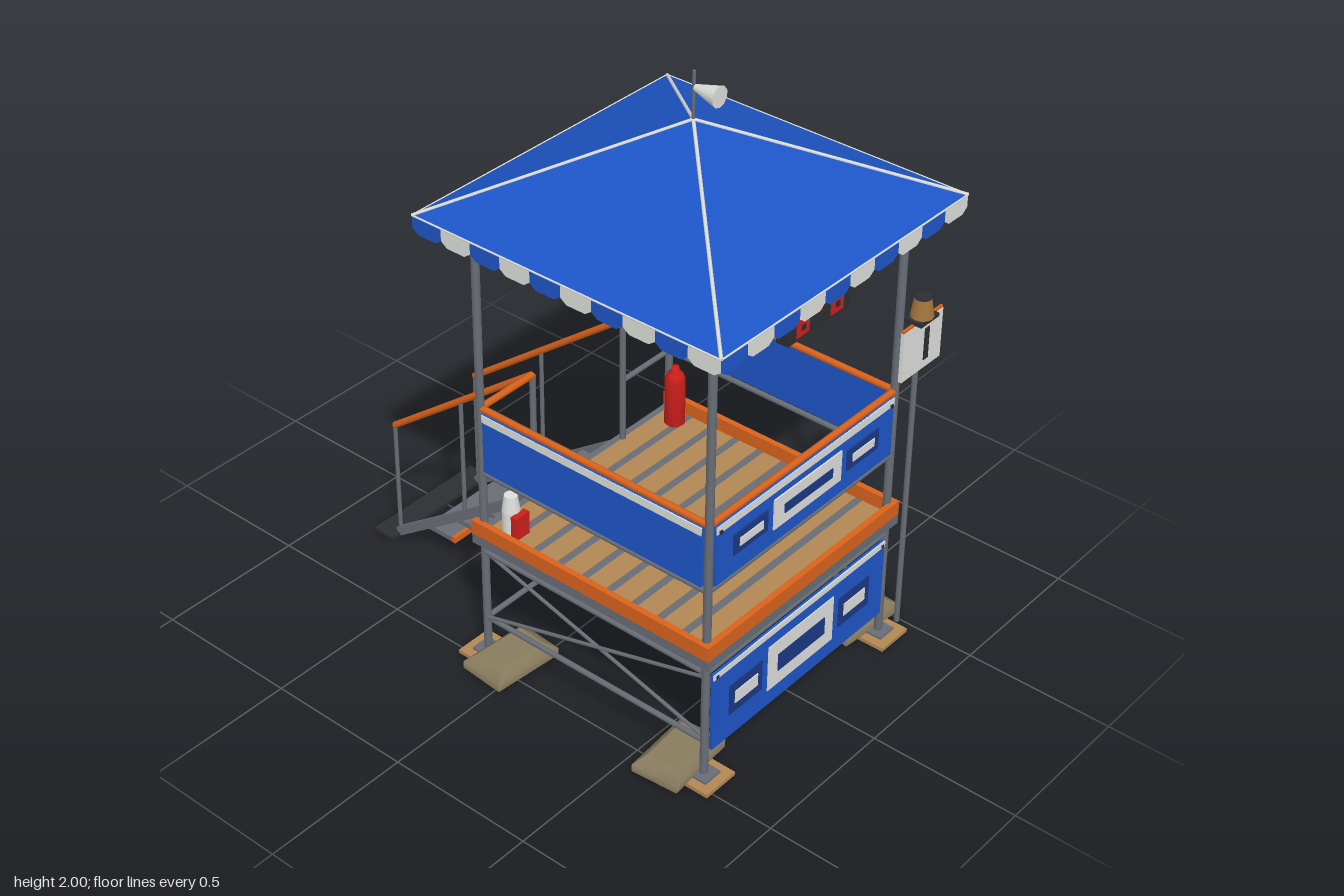
import * as THREE from 'three';

const mat = (name, color, side = THREE.FrontSide) => {
  const m = new THREE.MeshStandardMaterial({ color, side });
  m.name = name;
  return m;
};

export function createModel() {
  const blue = mat('canvas blue', 0x1d55c6, THREE.DoubleSide);
  const navy = mat('navy', 0x1b3884);
  const white = mat('off white', 0xdddfdb, THREE.DoubleSide);
  const steel = mat('steel grey', 0x686d75);
  const dark = mat('charcoal', 0x2d2e31);
  const orange = mat('safety orange', 0xd8621c);
  const red = mat('red', 0xcc1f1b);
  const wood = mat('wood', 0xb28755);
  const sand = mat('sandbag', 0x887c5e);
  const amber = mat('amber', 0xa3763f);

  const model = new THREE.Group();
  const CX = -0.03, CZ = 0.29, H = 0.43; // tower centre and half spacing of the posts
  const tower = new THREE.Group();
  tower.name = 'tower';
  tower.position.set(CX, 0, CZ);
  model.add(tower);

  const add = (parent, name, geo, material, x = 0, y = 0, z = 0) => {
    const m = new THREE.Mesh(geo, material);
    m.name = name;
    m.position.set(x, y, z);
    parent.add(m);
    return m;
  };
  // Box given by its ranges
  const box = (parent, name, material, x0, x1, y0, y1, z0, z1) =>
    add(parent, name, new THREE.BoxGeometry(x1 - x0, y1 - y0, z1 - z0), material,
      (x0 + x1) / 2, (y0 + y1) / 2, (z0 + z1) / 2);
  const cyl = (parent, name, material, r0, r1, y0, y1, x, z, sides = 12) =>
    add(parent, name, new THREE.CylinderGeometry(r1, r0, y1 - y0, sides), material, x, (y0 + y1) / 2, z);
  // Straight tube between two points
  const tube = (parent, name, material, a, b, r, sides = 8) => {
    const A = new THREE.Vector3(...a), d = new THREE.Vector3(...b).sub(A);
    const m = add(parent, name, new THREE.CylinderGeometry(r, r, d.length(), sides), material);
    m.position.copy(A).addScaledVector(d, 0.5);
    m.quaternion.setFromUnitVectors(new THREE.Vector3(0, 1, 0), d.normalize());
    return m;
  };
  // Group turned so that its +z side faces one side of the tower
  const sideGroup = (name, k) => {
    const g = new THREE.Group();
    g.name = name;
    g.rotation.y = k * Math.PI / 2;
    tower.add(g);
    return g;
  };

  // Corner posts, foot pads and sandbags
  for (const sx of [-1, 1]) for (const sz of [-1, 1]) {
    const x = sx * H, z = sz * H;
    cyl(tower, 'cornerPost', steel, 0.013, 0.013, 0.015, 1.56, x, z, 10);
    box(tower, 'footPad', wood, x - 0.065, x + 0.065, 0, 0.013, z - 0.065, z + 0.065);
    box(tower, 'footPlate', steel, x - 0.035, x + 0.035, 0.013, 0.02, z - 0.035, z + 0.035);
    const bag = new THREE.BoxGeometry(0.25, 0.052, 0.16, 1, 2, 1), p = bag.attributes.position;
    for (let i = 0; i < p.count; i++) if (p.getY(i) > 0.01) {
      p.setX(i, p.getX(i) * 0.7);
      p.setZ(i, p.getZ(i) * 0.65);
    }
    bag.computeVertexNormals();
    add(tower, 'sandbag', bag.toNonIndexed(), sand, x, 0.04, z - sz * 0.095).rotation.y = sx * sz * -0.08;
  }

  // Four sides: rails, toe boards, panels and bracing
  ['frontSide', 'leftSide', 'backSide', 'rightSide'].forEach((name, k) => {
    const g = sideGroup(name, k), back = k === 2, flank = k % 2 === 1;
    for (const y of [0.14, 0.395, 1.505])
      if (!(k === 0 && y === 0.14)) tube(g, 'crossRail', steel, [-H, y, H], [H, y, H], 0.009);
    const spans = back ? [[-H, -0.205], [0.205, H]] : [[-H, H]];
    for (const [a, b] of spans) {
      tube(g, 'handRail', orange, [a, 0.922, H], [b, 0.922, H], 0.011);
      tube(g, 'midRail', steel, [a, 0.69, H], [b, 0.69, H], 0.009);
    }
    box(g, 'deckBeam', steel, -0.457, 0.457, 0.432, 0.466, 0.425, 0.456);
    if (back) for (const x of [-0.205, 0.205]) tube(g, 'gatePost', steel, [x, 0.44, H], [x, 0.922, H], 0.01);
    else {
      box(g, 'toeBoard', orange, -0.457, 0.457, 0.466, 0.515, 0.437, 0.457);
      box(g, 'sidePanel', blue, -0.413, 0.413, 0.705, 0.911, H - 0.002, H + 0.012);
      box(g, 'panelHem', white, -0.413, 0.413, 0.885, 0.911, H + 0.01, H + 0.0145);
    }
    if (flank) for (const s of [-1, 1])
      tube(g, 'crossBrace', steel, [-H, 0.265 - s * 0.12, H + s * 0.006], [H, 0.265 + s * 0.12, H + s * 0.006], 0.006);
  });

  // Front banner and painted blocks on both front panels
  const front = sideGroup('frontGraphics', 0);
  box(front, 'lowerBanner', blue, -0.413, 0.413, 0.1, 0.382, H + 0.004, H + 0.014);
  box(front, 'bannerHem', white, -0.413, 0.413, 0.362, 0.382, H + 0.012, H + 0.0165);
  const plate = (m, x, y, w, h, layer) =>
    box(front, 'paintedBlock', m, x - w / 2, x + w / 2, y - h / 2, y + h / 2, H + 0.01, H + 0.014 + layer * 0.003);
  for (const [y, h, inner, sideH, sideInner] of [[0.24, 0.165, 0.062, 0.11, 0.045], [0.808, 0.105, 0.032, 0.072, 0.028]]) {
    plate(white, 0, y, 0.315, h, 1);
    plate(navy, 0, y, 0.225, inner, 2);
    for (const s of [-1, 1]) {
      plate(navy, s * 0.262, y, 0.152, sideH, 1);
      plate(white, s * 0.262, y, 0.105, sideInner, 2);
    }
  }
  for (const s of [-1, 1]) for (const y of [0.37, 0.89]) plate(dark, s * 0.398, y, 0.01, 0.01, 2);

  // Steel deck with planks let into it
  box(tower, 'deckBase', steel, -0.44, 0.44, 0.436, 0.468, -0.452, 0.44);
  for (let i = 0; i < 9; i++) {
    const z = -0.43 + i * 0.096;
    box(tower, 'deckPlank', wood, -0.435, 0.435, 0.462, 0.47, z, z + 0.07);
  }

  // Canopy: open pyramid with hip and eave trim
  const E = 0.55, EY = 1.58, AY = 1.85;
  const canopy = new THREE.ConeGeometry(E * Math.SQRT2, AY - EY, 4, 1, true).toNonIndexed();
  canopy.rotateY(Math.PI / 4);
  canopy.computeVertexNormals();
  add(tower, 'canopy', canopy, blue, 0, (AY + EY) / 2, 0);
  const N = 10, W = 2 * E / N;
  const flap = new THREE.Shape();
  flap.moveTo(0, 0);
  flap.lineTo(0, -0.04);
  flap.lineTo(0.022, -0.056);
  flap.lineTo(W - 0.022, -0.056);
  flap.lineTo(W, -0.04);
  flap.lineTo(W, 0);
  const flapGeo = new THREE.ShapeGeometry(flap);
  for (let k = 0; k < 4; k++) {
    const g = sideGroup('canopyEdge', k);
    tube(g, 'hipTrim', white, [E, EY, E], [0, AY, 0], 0.0055, 6);
    tube(g, 'eaveTrim', white, [-E, EY, E], [E, EY, E], 0.003, 6);
    for (let i = 0; i < N; i++) add(g, 'valanceFlap', flapGeo, i % 2 ? white : blue, -E + i * W, EY, E);
  }

  // Mast and wind sock
  cyl(tower, 'mast', steel, 0.005, 0.005, 1.84, 2, 0, 0, 8);
  const sock = add(tower, 'windSock', new THREE.CylinderGeometry(0.033, 0.01, 0.085, 10), white, 0, 1.95, 0.048);
  sock.rotation.x = Math.PI / 2;

  // Scoreboard with two red displays, and flood lamps
  box(tower, 'scoreboard', dark, -0.14, 0.14, 1.37, 1.495, 0.415, 0.455);
  for (const s of [-1, 1]) {
    const x = s * 0.077;
    box(tower, 'displayBlock', red, x - 0.027, x + 0.027, 1.382, 1.476, 0.45, 0.459);
    for (const y of [1.409, 1.449])
      box(tower, 'displayGap', dark, x - 0.009, x + 0.009, y - 0.009, y + 0.009, 0.452, 0.461);
    box(tower, 'lampHousing', dark, s * 0.285 - 0.047, s * 0.285 + 0.047, 1.462, 1.506, 0.415, 0.438);
    box(tower, 'lampFace', white, s * 0.285 - 0.043, s * 0.285 + 0.043, 1.466, 1.502, 0.435, 0.444);
  }
  box(tower, 'displayDot', red, -0.007, 0.007, 1.422, 1.436, 0.45, 0.459);

  // Control board on its own pole, with a beacon
  cyl(model, 'boardPole', steel, 0.009, 0.009, 0, 0.98, 0.49, 0.728, 8);
  box(model, 'controlBoard', white, 0.395, 0.59, 0.96, 1.13, 0.732, 0.744);
  box(model, 'boardCap', orange, 0.395, 0.59, 1.13, 1.138, 0.734, 0.742);
  box(model, 'boardSlot', dark, 0.5, 0.522, 0.99, 1.1, 0.74, 0.747);
  box(model, 'beaconBase', dark, 0.445, 0.535, 1.136, 1.148, 0.705, 0.767);
  cyl(model, 'beacon', amber, 0.036, 0.026, 1.148, 1.21, 0.49, 0.737);
  cyl(model, 'beaconCap', dark, 0.026, 0.022, 1.21, 1.217, 0.49, 0.737);

  // Fire extinguisher, and a white signal horn with a red block before it
  const bottle = [[0, 0], [0.034, 0], [0.034, 0.165], [0.026, 0.185], [0.013, 0.2], [0.013, 0.212], [0, 0.212]];
  add(model, 'extinguisher', new THREE.LatheGeometry(bottle.map(p => new THREE.Vector2(...p)), 14), red, 0.353, 0.468, -0.075);
  cyl(model, 'hornCan', white, 0.029, 0.029, 0.468, 0.55, -0.405, -0.08);
  cyl(model, 'hornBell', white, 0.029, 0.021, 0.55, 0.605, -0.405, -0.08);
  box(model, 'hornBlock', red, -0.434, -0.376, 0.468, 0.55, -0.055, -0.033);

  // Stairs with stringers, treads and hand rails
  const stairs = new THREE.Group();
  stairs.name = 'stairs';
  stairs.position.x = CX;
  model.add(stairs);
  box(stairs, 'stairFoot', dark, -0.228, 0.228, 0, 0.012, -0.845, -0.76);
  for (const s of [-1, 1]) {
    const x = s * 0.185;
    const len = Math.hypot(0.605, 0.43);
    const stringer = add(stairs, 'stringer', new THREE.BoxGeometry(0.02, 0.03, len), steel, x, 0.228, -0.467);
    stringer.rotation.x = -Math.atan2(0.43, 0.605);
    tube(stairs, 'stairRail', orange, [x, 0.9, -0.165], [x, 0.44, -0.765], 0.011);
    tube(stairs, 'railPost', steel, [x, 0.23, -0.465], [x, 0.67, -0.465], 0.007);
    tube(stairs, 'railPost', steel, [x, 0.01, -0.765], [x, 0.44, -0.765], 0.007);
  }
  for (let i = 0; i < 4; i++) {
    const y = 0.363 - i * 0.092, z = -0.165 - i * 0.12;
    box(stairs, 'tread', steel, -0.176, 0.176, y - 0.009, y + 0.009, z - 0.12, z - 0.014);
    box(stairs, 'treadNosing', orange, -0.176, 0.176, y - 0.01, y + 0.011, z - 0.014, z);
  }
  return model;
}
